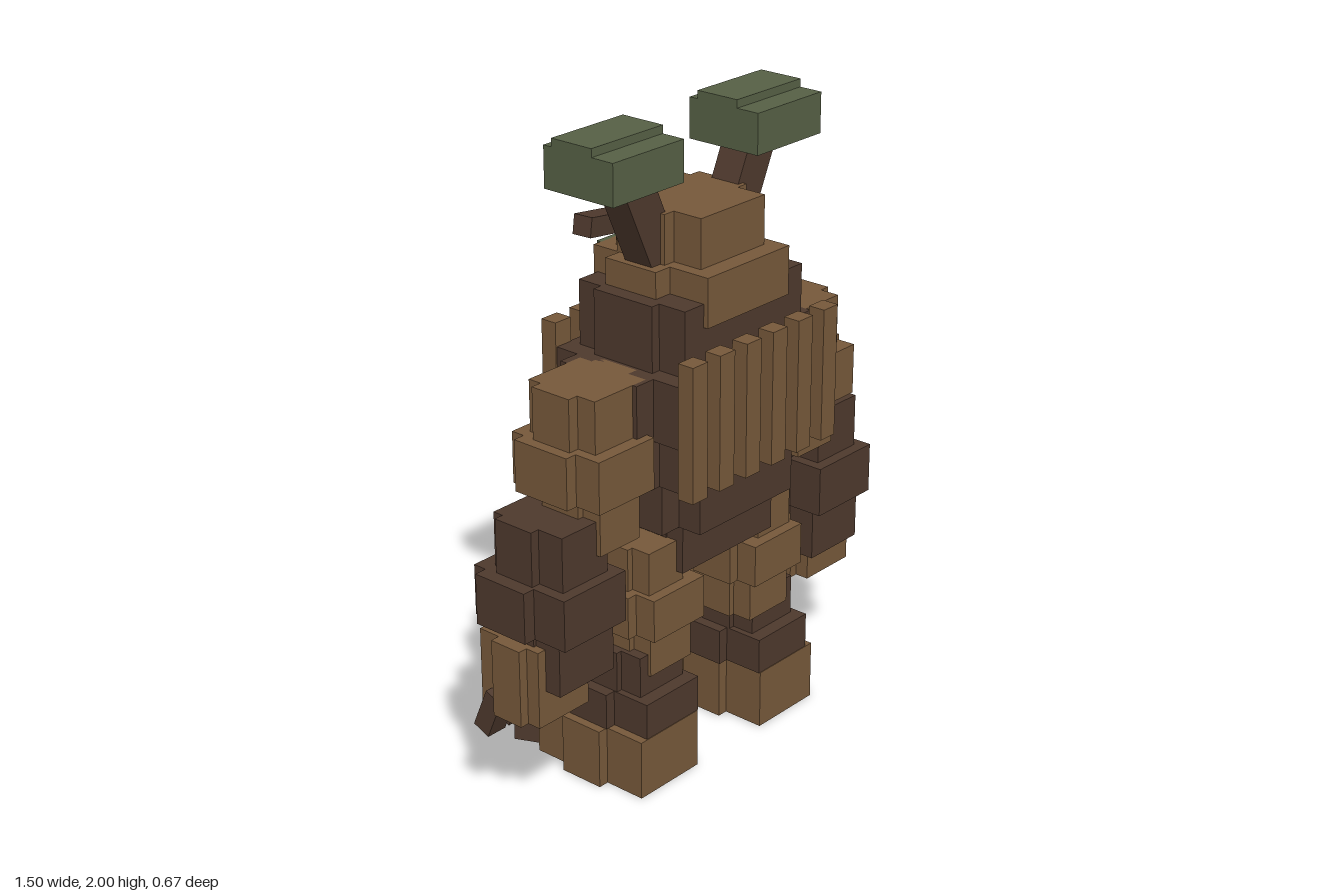
import * as THREE from 'three';

export function createModel() {
  const root = new THREE.Group();
  root.name = 'woodenGolem';

  const mat = (name, color) => {
    const m = new THREE.MeshStandardMaterial({ color });
    m.name = name;
    return m;
  };
  const wood = mat('light wood', 0x76583a);
  const bark = mat('dark bark', 0x4e392d);
  const leaf = mat('leaf green', 0x566045);

  // box from its size and centre, optionally turned
  const block = (parent, name, m, size, pos, rot = [0, 0, 0]) => {
    const mesh = new THREE.Mesh(new THREE.BoxGeometry(...size), m);
    mesh.name = name;
    mesh.position.set(...pos);
    mesh.rotation.set(...rot);
    parent.add(mesh);
    return mesh;
  };
  // box from its limits
  const span = (parent, name, m, [x0, x1], [y0, y1], [z0, z1]) =>
    block(parent, name, m, [x1 - x0, y1 - y0, z1 - z0],
      [(x0 + x1) / 2, (y0 + y1) / 2, (z0 + z1) / 2]);
  // plus-shaped layer: a deep core and a wider, shallower cross piece
  const layer = (parent, name, m, x, y, z, zSide, inset = 0.035) => {
    const g = new THREE.Group();
    g.name = name;
    span(g, name + 'Core', m, [x[0] + inset, x[1] - inset], y, z);
    span(g, name + 'Sides', m, x, y, zSide);
    parent.add(g);
  };

  // trunk, from hips to collar
  layer(root, 'hips', bark, [-0.21, 0.21], [0.67, 0.82], [-0.13, 0.19], [-0.08, 0.13], 0.005);
  layer(root, 'belly', bark, [-0.285, 0.285], [0.82, 0.98], [-0.17, 0.26], [-0.09, 0.18], 0.075);
  layer(root, 'lowerChest', bark, [-0.33, 0.33], [0.98, 1.13], [-0.19, 0.275], [-0.1, 0.18], 0.035);
  layer(root, 'upperChest', bark, [-0.39, 0.39], [1.13, 1.32], [-0.195, 0.28], [-0.11, 0.18], 0.07);
  layer(root, 'collar', bark, [-0.29, 0.29], [1.32, 1.52], [-0.155, 0.245], [-0.07, 0.15], 0.03);

  // rib slats on both faces of the chest
  for (let i = 0; i < 6; i++) {
    const x = (i - 2.5) * 0.117;
    span(root, 'frontRib', wood, [x - 0.032, x + 0.032], [0.98, 1.395], [0.275, 0.33]);
    span(root, 'backRib', wood, [x - 0.032, x + 0.032], [0.98, 1.395], [-0.245, -0.19]);
  }

  // head
  layer(root, 'jaw', wood, [-0.24, 0.24], [1.45, 1.6], [-0.17, 0.26], [-0.07, 0.12], 0.06);
  layer(root, 'crown', wood, [-0.18, 0.18], [1.6, 1.75], [-0.12, 0.2], [-0.08, 0.1], 0.04);

  for (const s of [-1, 1]) {
    const side = new THREE.Group();
    side.name = s > 0 ? 'leftSide' : 'rightSide';
    root.add(side);
    const X = (a, b) => (s > 0 ? [a, b] : [-b, -a]);

    // eye and slanted brow
    span(side, 'eye', leaf, X(0.06, 0.15), [1.54, 1.6], [-0.185, -0.168]);
    block(side, 'brow', bark, [0.21, 0.06, 0.065], [s * 0.108, 1.645, -0.192], [0, -s * 0.08, s * 0.15]);

    // antler branch with leaf clump
    block(side, 'branch', bark, [0.115, 0.44, 0.1], [s * 0.2, 1.7, 0.035], [0, 0, -s * 0.43]);
    span(side, 'leafClump', leaf, X(0.16, 0.45), [1.85, 1.975], [-0.1, 0.155]);
    span(side, 'leafRidge', leaf, X(0.16, 0.45), [1.975, 2], [-0.07, 0.078]);

    // upper arm
    layer(side, 'shoulder', wood, X(0.3, 0.58), [1.16, 1.32], [-0.085, 0.165], [-0.04, 0.1]);
    layer(side, 'upperArm', wood, X(0.31, 0.615), [1, 1.16], [-0.125, 0.207], [-0.08, 0.12], 0.038);
    layer(side, 'elbow', wood, X(0.345, 0.55), [0.84, 1], [-0.085, 0.165], [-0.04, 0.1], 0.02);

    // forearm, hand and fingers
    layer(side, 'upperForearm', bark, X(0.455, 0.7), [0.775, 0.945], [-0.115, 0.15], [-0.08, 0.06], 0.03);
    layer(side, 'midForearm', bark, X(0.41, 0.745), [0.615, 0.775], [-0.165, 0.187], [-0.12, 0.07], 0.04);
    layer(side, 'wrist', bark, X(0.455, 0.7), [0.45, 0.615], [-0.125, 0.15], [-0.08, 0.06], 0.01);
    layer(side, 'hand', wood, X(0.485, 0.75), [0.34, 0.585], [-0.135, 0.095], [-0.06, 0.05], 0.03);
    for (const x of [0.54, 0.625, 0.71])
      block(side, 'finger', bark, [0.07, 0.14, 0.062], [s * x, 0.328, -0.093], [0.4, 0, 0]);

    // leg
    layer(side, 'hipJoint', wood, X(0.155, 0.345), [0.635, 0.77], [-0.1, 0.165], [-0.05, 0.1], 0.02);
    layer(side, 'thigh', wood, X(0.085, 0.378), [0.5, 0.635], [-0.14, 0.2], [-0.08, 0.13]);
    layer(side, 'knee', wood, X(0.12, 0.34), [0.365, 0.5], [-0.1, 0.165], [-0.05, 0.1], 0.02);
    layer(side, 'shin', bark, X(0.145, 0.375), [0.305, 0.435], [-0.12, 0.155], [-0.07, 0.08], 0.02);
    layer(side, 'ankle', bark, X(0.11, 0.412), [0.19, 0.305], [-0.155, 0.2], [-0.08, 0.07]);
    layer(side, 'foot', wood, X(0.115, 0.44), [0, 0.19], [-0.22, 0.202], [-0.085, 0.065]);

    // three fanned toes
    for (const t of [-1, 0, 1])
      block(side, 'toe', bark, [0.09, 0.09, 0.15],
        [s * (0.28 + t * 0.08), 0.066, t ? -0.25 : -0.235], [0.06, -s * t * 0.5, 0]);
  }
  return root;
}
